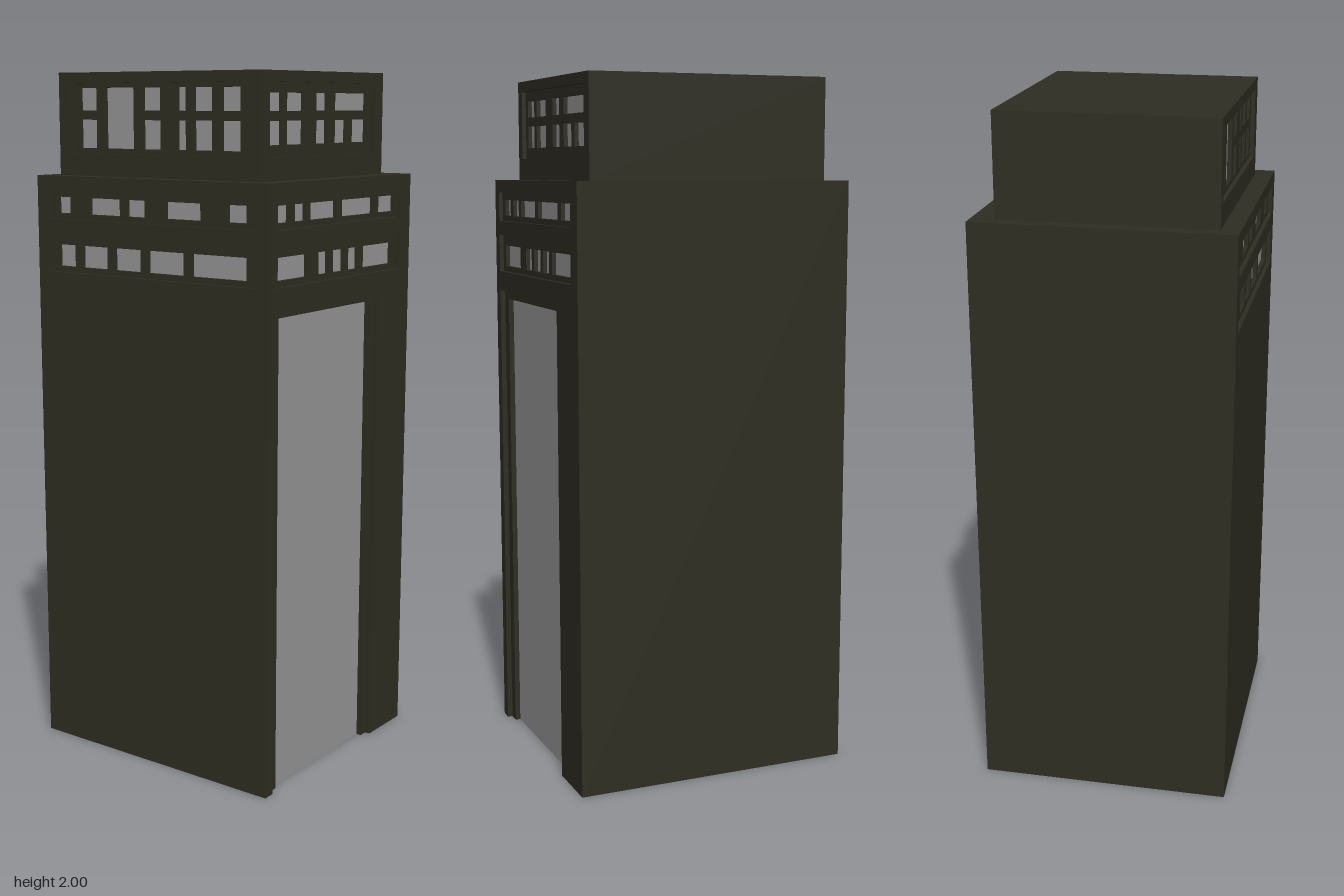
import * as THREE from 'three';

const dark = new THREE.MeshStandardMaterial({ name: 'dark olive wall', color: 0x2f2e23, side: THREE.DoubleSide });
const grey = new THREE.MeshStandardMaterial({ name: 'grey glass', color: 0x999999, side: THREE.DoubleSide });

// Rectangles are [x0, x1, y0, y1]
const corners = ([a, b, c, d]) => [[a, c], [b, c], [b, d], [a, d]].map(p => new THREE.Vector2(...p));

function add(parent, name, geometry, material, z = 0) {
  const mesh = new THREE.Mesh(geometry, material);
  mesh.name = name;
  mesh.position.z = z;
  parent.add(mesh);
  return mesh;
}

// Flat plate with rectangular holes; an opening at the bottom edge becomes a notch
function plate(parent, name, rect, holes, z) {
  const outline = corners(rect);
  const inner = [];
  for (const h of holes) {
    if (h[2] <= rect[2]) {
      const [a, b, c, d] = corners(h);
      outline.splice(1, 0, a, d, c, b);
    } else inner.push(new THREE.Path(corners(h)));
  }
  const shape = new THREE.Shape(outline);
  shape.holes.push(...inner);
  return add(parent, name, new THREE.ShapeGeometry(shape), dark, z);
}

// Side faces running back from the edge of an opening
function reveal(parent, rect, z, depth) {
  const [x0, x1, y0, y1] = rect, w = x1 - x0, h = y1 - y0;
  for (const [x, sign] of [[x0, 1], [x1, -1]]) {
    const g = new THREE.PlaneGeometry(depth, h).rotateY(sign * Math.PI / 2);
    add(parent, 'openingSide', g.translate(x, (y0 + y1) / 2, -depth / 2), dark, z);
  }
  for (const [y, sign] of y0 > 0 ? [[y0, -1], [y1, 1]] : [[y1, 1]]) {
    const g = new THREE.PlaneGeometry(w, depth).rotateX(sign * Math.PI / 2);
    add(parent, 'openingEdge', g.translate((x0 + x1) / 2, y, -depth / 2), dark, z);
  }
}

// Sunken frame holding deeper panes
function recess(parent, name, rect, panes, step) {
  const g = new THREE.Group();
  g.name = name;
  parent.add(g);
  reveal(g, rect, 0, step);
  plate(g, 'frame', rect, panes, -step);
  for (const p of panes) {
    reveal(g, p, -step, step);
    add(g, 'pane', new THREE.ShapeGeometry(new THREE.Shape(corners(p))), grey, -2 * step);
  }
}

function face(parent, name, angle, distance, offset = 0) {
  const g = new THREE.Group();
  g.name = name;
  g.rotation.y = angle;
  g.position.set(Math.sin(angle) * distance, 0, Math.cos(angle) * distance).addScalar(offset);
  parent.add(g);
  return g;
}

// One row of panes sharing a height
const row = (y0, y1, spans) => spans.map(([a, b]) => [a, b, y0, y1]);

const Q = Math.PI / 2, STEP = 0.012, BASE = 1.71, SPLIT = 1.4;
const X = 0.41, Z = 0.365;                             // base half sizes
const TX0 = -0.367, TX1 = 0.349, TZ0 = -0.298, TZ1 = 0.312; // upper block

function frontPanes() {
  const upper = [[-0.298, -0.235], [-0.066, -0.002], [0.056, 0.087], [0.114, 0.177], [0.209, 0.272]];
  return [[-0.203, -0.098, 1.788, 1.957], ...row(1.894, 1.957, upper), ...row(1.788, 1.868, upper)];
}

function sidePanes() {
  const shared = [[-0.257, -0.198], [-0.177, -0.093], [-0.034, 0.024]];
  return [...row(1.894, 1.942, [...shared, [0.061, 0.23]]),
    ...row(1.804, 1.868, [...shared, [0.061, 0.124], [0.151, 0.23]])];
}

export function createModel() {
  const model = new THREE.Group();
  model.name = 'towerBuilding';

  // Front: two window bands over a plain wall
  const front = face(model, 'baseFront', 0, Z);
  const fBands = [[-0.373, 0.362, 1.587, 1.672], [-0.373, 0.362, 1.434, 1.545]];
  plate(front, 'bandWall', [-X, X, SPLIT, BASE], fBands, 0);
  plate(front, 'lowerWall', [-X, X, 0, SPLIT], [], 0);
  recess(front, 'upperWindowBand', fBands[0], row(1.603, 1.65,
    [[-0.341, -0.294], [-0.22, -0.108], [-0.082, -0.018], [0.056, 0.177], [0.267, 0.331]]), STEP);
  recess(front, 'lowerWindowBand', fBands[1], row(1.45, 1.513,
    [[-0.341, -0.278], [-0.251, -0.156], [-0.13, -0.034], [-0.008, 0.119], [0.145, 0.331]]), STEP);

  // Right side: two window bands over a tall doorway
  const side = face(model, 'baseRightSide', Q, X);
  const sBands = [[-0.33, 0.31, 1.587, 1.672], [-0.33, 0.31, 1.434, 1.545]];
  const doorway = [-0.33, 0.193, 0, 1.375];
  plate(side, 'bandWall', [-Z, Z, SPLIT, BASE], sBands, 0);
  plate(side, 'doorWall', [-Z, Z, 0, SPLIT], [doorway], 0);
  recess(side, 'upperWindowBand', sBands[0], row(1.603, 1.65,
    [[-0.304, -0.251], [-0.225, -0.172], [-0.151, -0.019], [0.008, 0.177], [0.204, 0.294]]), STEP);
  recess(side, 'lowerWindowBand', sBands[1], row(1.45, 1.513,
    [[-0.304, -0.161], [-0.108, -0.056], [-0.034, 0.024], [0.045, 0.098], [0.124, 0.283]]), STEP);
  recess(side, 'tallDoor', doorway, [[-0.294, 0.167, 0, 1.35]], 0.015);

  // Plain back and left walls of the base
  plate(face(model, 'baseBack', 2 * Q, Z), 'backWall', [-X, X, 0, BASE], [], 0);
  plate(face(model, 'baseLeftSide', -Q, X), 'plainWall', [-Z, Z, 0, BASE], [], 0);

  // Upper block walls
  const topFront = face(model, 'upperFront', 0, TZ1);
  const tf = [-0.325, 0.3, 1.773, 1.97];
  plate(topFront, 'upperWall', [TX0, TX1, BASE, 2], [tf], 0);
  recess(topFront, 'upperFrontWindows', tf, frontPanes(), STEP);
  const topSide = face(model, 'upperRightSide', Q, TX1);
  const ts = [-0.278, 0.257, 1.773, 1.97];
  plate(topSide, 'upperWall', [-TZ1, -TZ0, BASE, 2], [ts], 0);
  recess(topSide, 'upperSideWindows', ts, sidePanes(), STEP);
  plate(face(model, 'upperBack', 2 * Q, -TZ0), 'upperWall', [-TX1, -TX0, BASE, 2], [], 0);
  plate(face(model, 'upperLeftSide', -Q, -TX0), 'upperWall', [TZ0, TZ1, BASE, 2], [], 0);

  // Ledge and roof; the underside stays open
  const flat = (name, x0, x1, z0, z1, y) => {
    const g = new THREE.PlaneGeometry(x1 - x0, z1 - z0).rotateX(-Q);
    add(model, name, g.translate((x0 + x1) / 2, y, (z0 + z1) / 2), dark);
  };
  flat('ledge', -X, X, -Z, Z, BASE);
  flat('roof', TX0, TX1, TZ0, TZ1, 2);
  return model;
}
